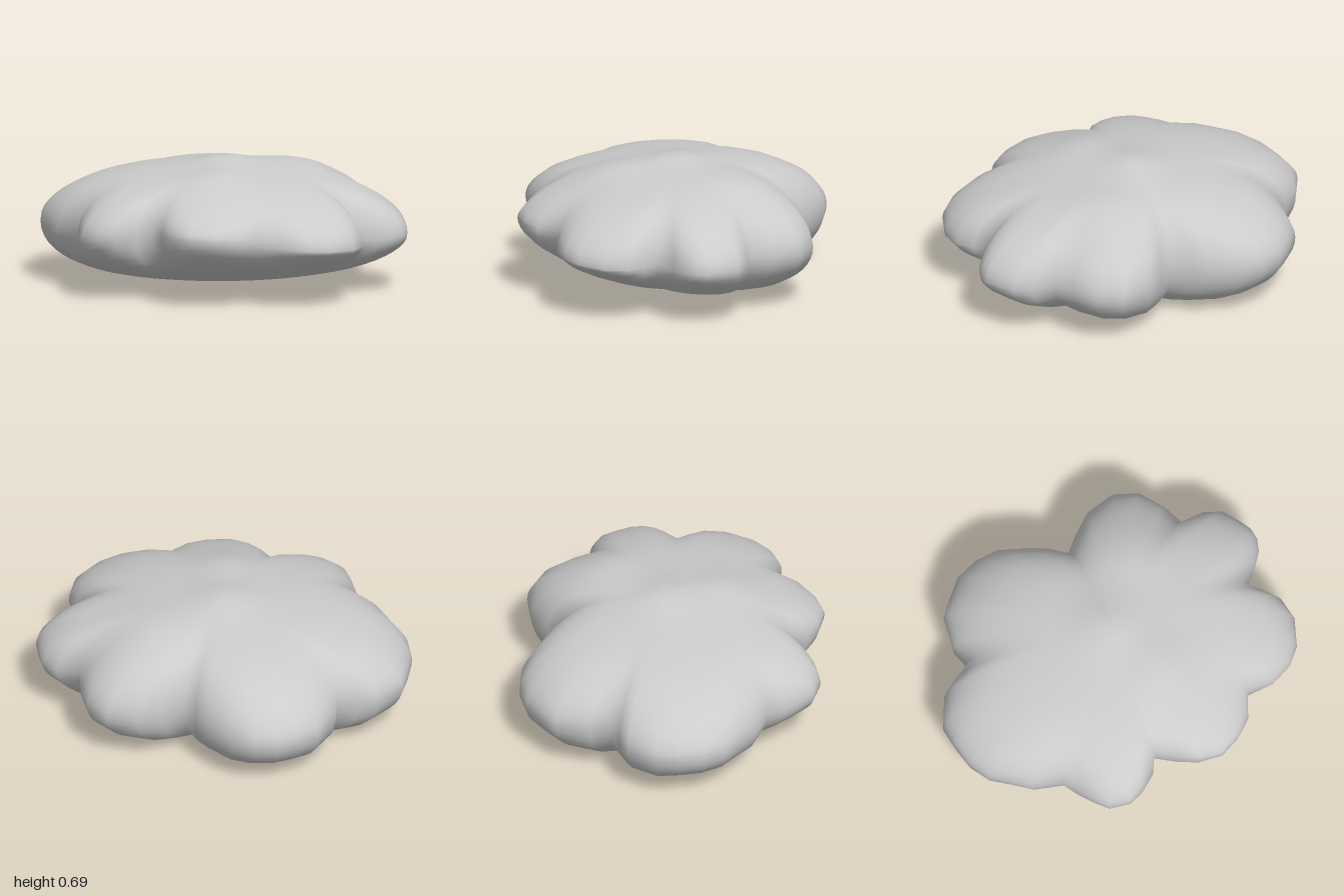
import * as THREE from 'three';
import { mergeVertices } from 'three/addons/utils/BufferGeometryUtils.js';

// Lobed rim seen from above: x, z pairs, one lobe per line
const RIM = [
  [1.0, -0.03, 0.99, 0.03, 0.95, 0.09, 0.88, 0.14, 0.77, 0.20],
  [0.82, 0.29, 0.86, 0.38, 0.845, 0.50, 0.75, 0.63, 0.65, 0.69, 0.52, 0.71, 0.37, 0.67],
  [0.28, 0.78, 0.17, 0.83, 0.04, 0.85, -0.07, 0.80, -0.15, 0.72, -0.23, 0.61],
  [-0.30, 0.68, -0.41, 0.72, -0.50, 0.725, -0.60, 0.67, -0.64, 0.58, -0.67, 0.49, -0.69, 0.40],
  [-0.83, 0.31, -0.90, 0.21, -0.97, 0.12, -1.0, 0, -0.99, -0.13, -0.97, -0.25, -0.85, -0.38, -0.75, -0.41, -0.64, -0.435],
  [-0.64, -0.55, -0.56, -0.72, -0.47, -0.78, -0.36, -0.84, -0.23, -0.85, -0.11, -0.82, 0.03, -0.71, 0.10, -0.64, 0.16, -0.55],
  [0.27, -0.61, 0.40, -0.665, 0.57, -0.655, 0.68, -0.57, 0.73, -0.42, 0.745, -0.29],
  [0.87, -0.26, 0.95, -0.20, 0.98, -0.11],
].flat();
const COLUMNS = RIM.length / 2;
const RINGS = 32; // from the crown, around the rim, to the underside

const bump = (x, z, cx, cz, width) => Math.exp(-((x - cx) ** 2 + (z - cz) ** 2) / width ** 2);

// Domed top with a few soft bumps
function topHeight(x, z) {
  return 0.66 - 0.17 * x * x - (z > 0 ? 0.25 : 0.15) * z * z
    + 0.04 * bump(x, z, 0, -0.02, 0.16)
    + 0.03 * bump(x, z, 0.04, 0.33, 0.16)
    + 0.03 * bump(x, z, 0.37, -0.25, 0.2);
}

// Shallow bowl underneath, lowest towards the back
function bottomHeight(x, z) {
  return 0.005 + 0.12 * (x + 0.18) ** 2 + 0.19 * (z + 0.3) ** 2;
}

export function createModel() {
  const group = new THREE.Group();
  group.name = 'cloud';

  const positions = [], index = [];
  for (let i = 0; i <= RINGS; i++) {
    const angle = (i / RINGS) * Math.PI;
    const rho = i === RINGS ? 0 : Math.sin(angle);
    for (let j = 0; j < COLUMNS; j++) {
      const rimX = RIM[2 * j], rimZ = RIM[2 * j + 1];
      const front = rimZ / Math.hypot(rimX, rimZ); // 1 at the front, -1 at the back
      const rimY = 0.315 + 0.08 * Math.max(0, front) ** 4;
      const x = rho * rimX, z = rho * rimZ;
      const face = i <= RINGS / 2 ? topHeight(x, z) : bottomHeight(x, z);
      // Full height inside, rounding over at the rim, softer at the back
      const fullness = Math.sqrt(Math.max(0, 1 - rho ** (7 + 2.5 * front)));
      positions.push(x, rimY + (face - rimY) * fullness, z);

      if (i < RINGS) {
        const next = (j + 1) % COLUMNS;
        const a = i * COLUMNS + j, b = a + COLUMNS;
        const c = (i + 1) * COLUMNS + next, d = i * COLUMNS + next;
        if (i < RINGS - 1) index.push(a, c, b);
        if (i > 0) index.push(a, d, c);
      }
    }
  }
  let geometry = new THREE.BufferGeometry();
  geometry.setAttribute('position', new THREE.Float32BufferAttribute(positions, 3));
  geometry.setIndex(index);
  geometry = mergeVertices(geometry, 1e-4); // welds both poles
  geometry.computeVertexNormals();

  const body = new THREE.Mesh(geometry, new THREE.MeshStandardMaterial({ color: 0xcccccc }));
  body.name = 'cloudBody';
  group.add(body);
  return group;
}
